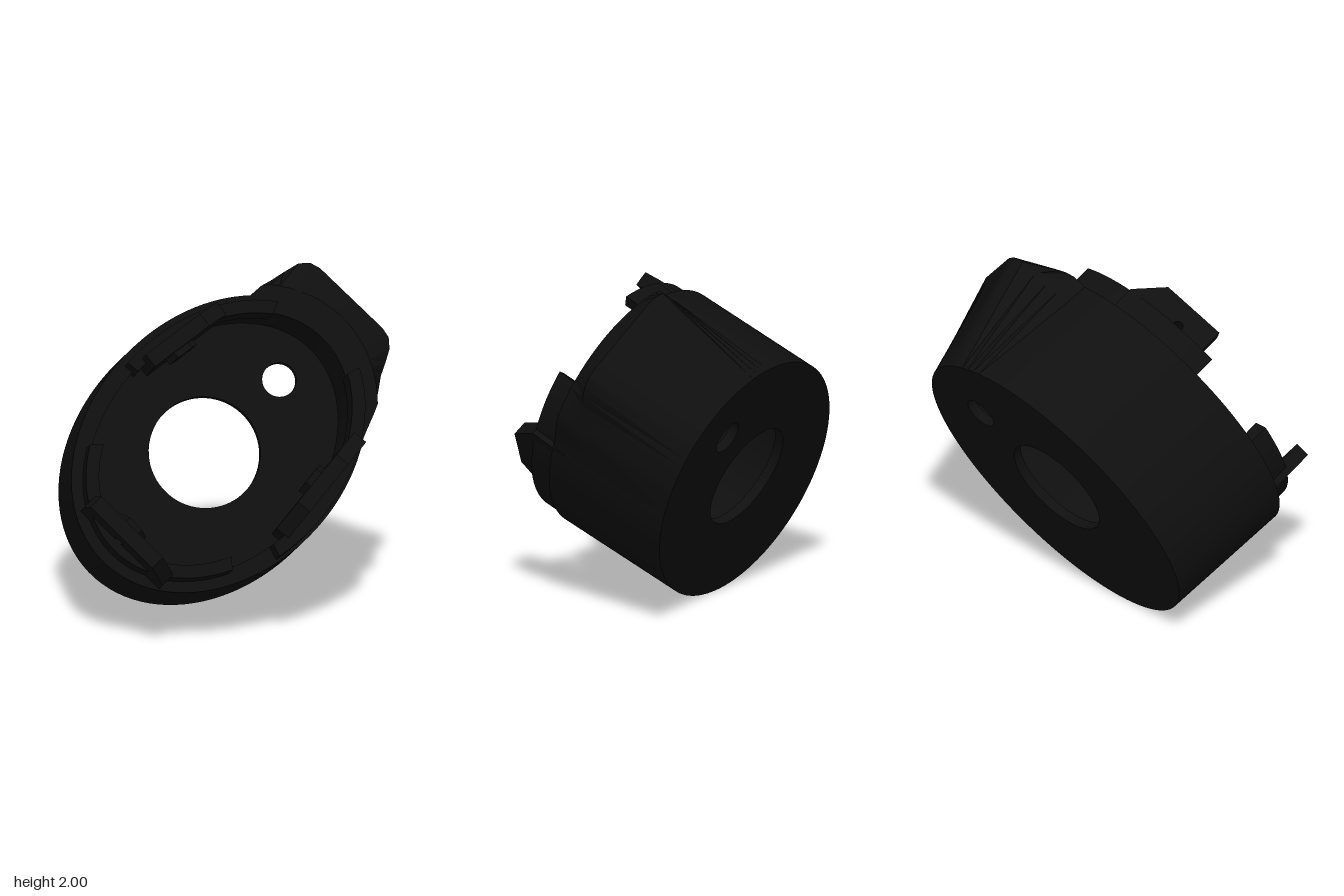
import * as THREE from 'three';
import { toCreasedNormals } from 'three/addons/utils/BufferGeometryUtils.js';

// Local frame: x across, y up the back plate, z along the housing axis.
const BACK = -0.155, SHOULDER = 0.55, RIM = 0.685, LIP = 0.835, LUG = 1.0;
const SEG = 120;
const rad = THREE.MathUtils.degToRad;

// Radius of the oval body, long axis close to 45 degrees
function oval(t) {
  const c = Math.cos(t - rad(43.5)), s = Math.sin(t - rad(43.5));
  return 1 / Math.hypot(c / 0.975, s / 0.75);
}

// Outline of the angular corner block, relative to the oval centre
const corner = [[0.86, 0.03], [0.94, 0.19], [0.985, 0.39], [1.035, 0.5], [1.05, 0.575], [1.025, 0.635],
  [0.645, 1.035], [0.585, 1.06], [0.525, 1.05], [0.4, 0.975], [0.25, 0.89]];
function blockRadius(t) {
  const dx = Math.cos(t), dy = Math.sin(t);
  for (let i = 0; i < corner.length - 1; i++) {
    const [ax, ay] = corner[i], [bx, by] = corner[i + 1];
    const ca = dx * ay - dy * ax, cb = dx * by - dy * bx;
    if (ca <= 0 && cb >= 0 && dx * ax + dy * ay > 0) {
      const k = ca / (ca - cb);
      return Math.hypot(ax + (bx - ax) * k, ay + (by - ay) * k);
    }
  }
  return 0;
}
const shoulder = t => Math.max(oval(t), blockRadius(t));

// Point at angle t and radius r; the oval drifts slightly down and sideways toward the front
function at(t, r, z) {
  const k = (z - BACK) / (RIM - BACK);
  return new THREE.Vector2(-0.06 - 0.03 * k + r * Math.cos(t), 0.93 - 0.045 * k + r * Math.sin(t));
}

// Skin a closed chain of rings: each is [radius function, depth]
function loft(rings) {
  const pos = [], idx = [];
  for (const [fn, z] of rings) {
    for (let i = 0; i < SEG; i++) {
      const t = (i / SEG) * Math.PI * 2, p = at(t, fn(t), z);
      pos.push(p.x, p.y, z);
    }
  }
  for (let r = 0; r < rings.length; r++) {
    const n = (r + 1) % rings.length;
    for (let i = 0; i < SEG; i++) {
      const j = (i + 1) % SEG;
      const a = r * SEG + i, b = r * SEG + j, c = n * SEG + j, d = n * SEG + i;
      idx.push(a, b, c, a, c, d);
    }
  }
  const g = new THREE.BufferGeometry();
  g.setAttribute('position', new THREE.Float32BufferAttribute(pos, 3));
  g.setIndex(idx);
  return toCreasedNormals(g, rad(25));
}

const circleHole = (x, y, r) => new THREE.Path().absarc(x, y, r, 0, Math.PI * 2, true);
const extrude = (shape, depth, curveSegments = 24) =>
  new THREE.ExtrudeGeometry(shape, { depth, bevelEnabled: false, curveSegments });

export function createModel() {
  const black = new THREE.MeshStandardMaterial({ color: 0x0f0f0f });
  black.name = 'black plastic';
  const model = new THREE.Group();
  const body = new THREE.Group();
  body.name = 'housing';
  body.rotation.x = rad(-24);
  model.add(body);

  const add = (name, geometry, parent = body) => {
    const mesh = new THREE.Mesh(geometry, black);
    mesh.name = name;
    parent.add(mesh);
    return mesh;
  };

  // Side wall, swelling into the corner block, with a flat rim
  add('sideWall', loft([
    [oval, BACK],
    [shoulder, SHOULDER],
    [t => Math.min(shoulder(t), oval(t) + 0.07), RIM],
    [t => oval(t) - 0.1, RIM],
    [t => oval(t) - 0.1, BACK],
  ]));

  // Back plate with the large centre opening and the small cable hole
  const outline = [];
  for (let i = 0; i < SEG; i++) {
    const t = (i / SEG) * Math.PI * 2;
    outline.push(at(t, oval(t) - 0.02, BACK));
  }
  const plate = new THREE.Shape(outline);
  plate.holes.push(circleHole(-0.075, 0.945, 0.327), circleHole(0.385, 1.354, 0.1));
  add('backPlate', extrude(plate, 0.06, 32)).position.z = BACK;

  // Raised lip in three arcs: start angle, end angle, inset from the wall
  for (const [from, to, inset] of [[-181, -88, 0.075], [-66, 26, 0.02], [65, 137, 0.04]]) {
    const edge = [0, 1].map(side => {
      const pts = [];
      for (let i = 0; i <= 24; i++) {
        const t = rad(from + ((to - from) * i) / 24);
        pts.push(at(t, oval(t) - inset - 0.08 * side, LIP));
      }
      return pts;
    });
    const shape = new THREE.Shape([...edge[0], ...edge[1].reverse()]);
    add('lip', toCreasedNormals(extrude(shape, LIP - 0.6), rad(25))).position.z = 0.6;
  }

  // Flat screw lugs: start and end of the top edge, then extra width at each foot
  const lugs = [
    [[-0.9, 0.5], [-0.56, 0.13], 0.03, 0.11],
    [[0.38, 0.425], [0.62, 0.695], 0.17, 0.2],
    [[-0.2, 1.61], [-0.53, 1.383], 0.15, 0],
  ];
  for (const [p, q, e0, e1] of lugs) {
    const along = new THREE.Vector3(q[0] - p[0], q[1] - p[1], 0);
    const len = along.length();
    along.normalize();
    const up = new THREE.Vector3(0, 0, 1);
    const out = new THREE.Vector3().crossVectors(along, up);
    const lug = new THREE.Group();
    lug.name = 'screwLug';
    lug.quaternion.setFromRotationMatrix(new THREE.Matrix4().makeBasis(along, up, out));
    lug.position.set(p[0], p[1], 0);
    body.add(lug);

    const face = new THREE.Shape([
      [-e0, 0.6], [len + e1, 0.6], [len + e1, LIP], [len, LUG], [0, LUG], [-e0, LIP],
    ].map(([x, y]) => new THREE.Vector2(x, y)));
    face.holes.push(circleHole(len / 2, 0.86, 0.03));
    add('lugPlate', extrude(face, 0.09), lug).position.z = -0.09;

    // Hexagonal nut seat on the inside
    const hex = new THREE.Shape();
    for (let i = 0; i < 6; i++) {
      const a = (i * Math.PI) / 3;
      hex[i ? 'lineTo' : 'moveTo'](len / 2 + 0.1 * Math.cos(a), 0.86 + 0.1 * Math.sin(a));
    }
    hex.closePath();
    hex.holes.push(circleHole(len / 2, 0.86, 0.055));
    add('nutSeat', extrude(hex, 0.04), lug).position.z = -0.128;
  }

  return model;
}
